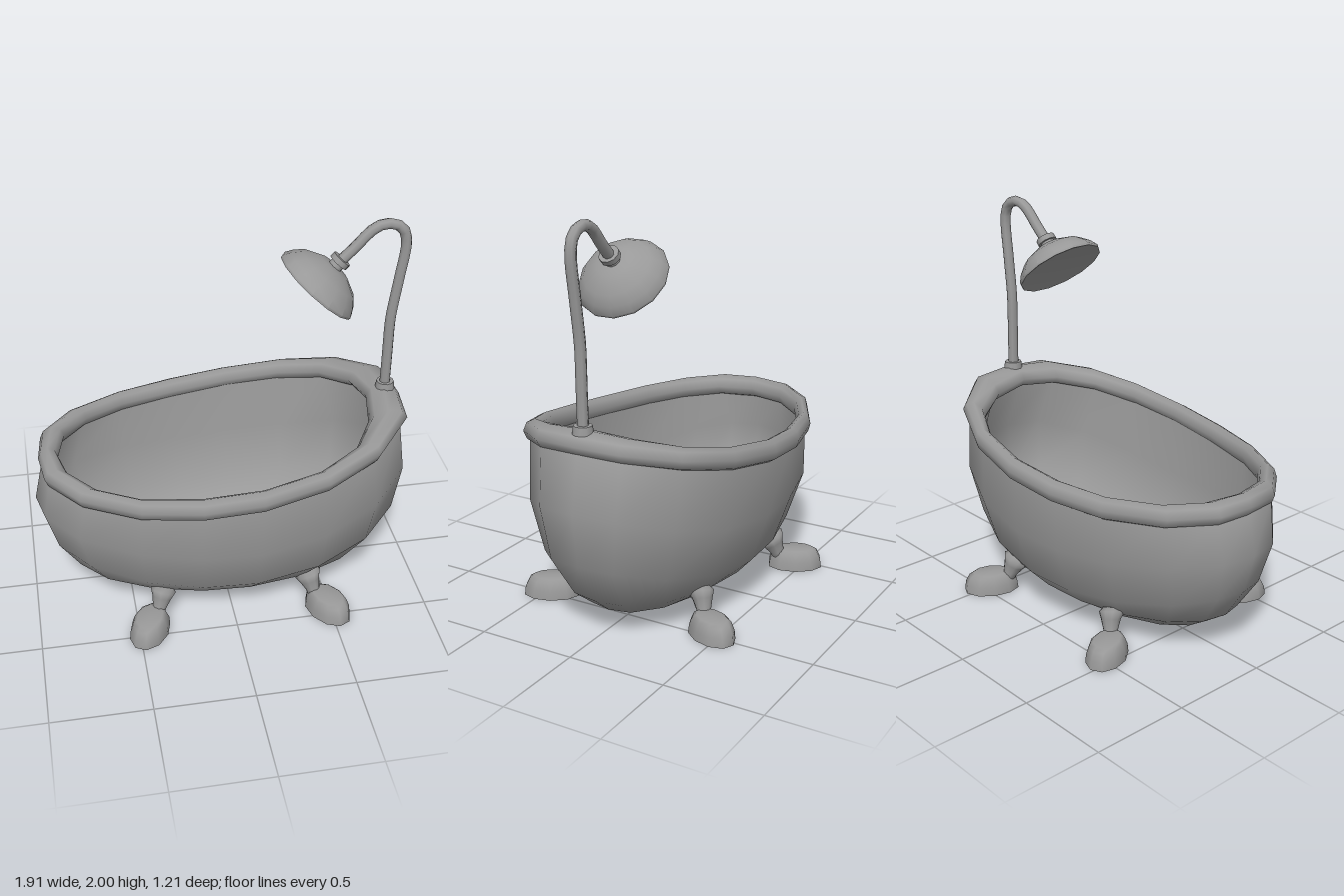
import * as THREE from 'three';
import { mergeVertices, toCreasedNormals } from 'three/addons/utils/BufferGeometryUtils.js';

const material = new THREE.MeshStandardMaterial({ color: 0x999999, side: THREE.DoubleSide });

function part(name, geometry) {
  const mesh = new THREE.Mesh(geometry, material);
  mesh.name = name;
  return mesh;
}

// Skin a stack of closed rings (each counter-clockwise from above, listed bottom to top)
function loft(rings) {
  const n = rings[0].length, index = [];
  for (let i = 0; i < rings.length - 1; i++) {
    for (let j = 0; j < n; j++) {
      const k = (j + 1) % n;
      const a = i * n + j, b = i * n + k, c = b + n, d = a + n;
      index.push(a, b, c, a, c, d);
    }
  }
  const g = new THREE.BufferGeometry();
  g.setAttribute('position', new THREE.Float32BufferAttribute(rings.flat(2), 3));
  g.setIndex(index);
  const welded = mergeVertices(g, 1e-4);
  welded.computeVertexNormals();
  return welded;
}

// Half of the rim: outer x, outer z, inner x, inner z
const half = [
  [-0.93, 0, -0.83, 0], [-0.91, 0.18, -0.785, 0.19], [-0.755, 0.37, -0.655, 0.34],
  [-0.47, 0.52, -0.46, 0.445], [-0.18, 0.59, -0.17, 0.505], [0.11, 0.607, 0.12, 0.525],
  [0.44, 0.56, 0.40, 0.485], [0.72, 0.435, 0.60, 0.38], [0.91, 0.22, 0.715, 0.2],
  [0.93, 0, 0.755, 0],
];
const mirrored = half.slice(1, -1).reverse().map(([a, b, c, d]) => [a, -b, c, -d]);
const outline = [...half, ...mirrored];

// The rim sweeps up towards the shower end
const rimHeight = (x) => 0.827 + 0.1 * x + 0.097 * x * x;

// Tub wall layers: x min, x max, half depth, y at left end, middle, right end
const layers = [
  [0, 0, 0, 0.03, 0.03, 0.03],
  [-0.40, 0.40, 0.17, 0.05, 0.042, 0.046],
  [-0.66, 0.67, 0.30, 0.11, 0.088, 0.10],
  [-0.79, 0.78, 0.39, 0.20, 0.15, 0.19],
  [-0.90, 0.92, 0.48, 0.37, 0.245, 0.42],
  [-0.96, 0.955, 0.567, 0.58, 0.50, 0.69],
];

// Same outline as the rim, with rounder ends
function wallRing([x0, x1, depth, yl, ym, yr], inset, lift) {
  const rx = Math.max((x1 - x0) / 2 - inset, 0), rz = Math.max(depth - inset, 0);
  return outline.map(([x, z]) => {
    const u = x / 0.93 * (z ? 0.982 : 1);
    const y = ym + ((u < 0 ? yl : yr) - ym) * u * u;
    return [(x0 + x1) / 2 + rx * u, y + lift, rz * z / 0.607];
  });
}

function createTub() {
  const outer = layers.map((l) => wallRing(l, 0, 0));
  // The wall runs up into the rim: f goes from its outer to its inner edge
  const lip = (f, endShift) => outline.map(([x, z, ix, iz]) => {
    const k = f - endShift * (x / 0.93) ** 2;
    return [x + (ix - x) * k, rimHeight(x) - 0.015, z + (iz - z) * k];
  });
  const lifts = [0.05, 0.042, 0.03, 0.025, 0.015, 0];
  const inner = layers.map((l, i) => wallRing(l, 0.037, lifts[i])).reverse();
  return part('tubShell', loft([...outer, lip(0.45, 0.28), lip(0.88, 0.1), ...inner]));
}

// Rolled rim swept around the outline, level across the ends and sloping along the sides
function createRim() {
  const rings = [...outline, outline[0]].map(([x, z, ix, iz]) => {
    const ring = [];
    for (let j = 0; j < 8; j++) {
      const t = j / 8 * Math.PI * 2, c = Math.cos(t);
      const px = (x + ix) / 2 + (x - ix) / 2 * c;
      const slope = (rimHeight(px) - rimHeight(x)) * Math.abs(z) / 0.607;
      ring.push([px, rimHeight(x) + slope - 0.058 * Math.sin(t), (z + iz) / 2 + (z - iz) / 2 * c]);
    }
    return ring;
  });
  return part('rolledRim', loft(rings));
}

// Horizontal oval ring turned outward by an angle; tilt raises its outward side
function oval([cx, y, cz], rx, rz, sx, sz, turn = 0, tilt = 0) {
  const ring = [];
  for (let j = 0; j < 10; j++) {
    const t = j / 10 * Math.PI * 2, ax = rx * Math.cos(t), az = -rz * Math.sin(t);
    const a = turn * sx * sz;
    const dx = ax * Math.cos(a) + az * Math.sin(a), dz = az * Math.cos(a) - ax * Math.sin(a);
    ring.push([cx + dx, y + tilt * (dx * sx + dz * sz), cz * sz + dz]);
  }
  return ring;
}

// Hollow foot pointing outward and the flared leg that meets the tub
function createLeg(sx, sz) {
  const leg = new THREE.Group();
  leg.name = 'leg';
  const shift = sx > 0 ? 0.037 : 0;
  const at = (x, y, z) => [x * sx + shift, y, z];
  const footRing = (y, k) => oval(at(0.448, y, 0.464), 0.097 * k, 0.146 * k, sx, sz, 0.47);
  leg.add(part('foot', loft([
    footRing(0, 1), footRing(0.045, 0.96), footRing(0.085, 0.82), footRing(0.1, 0.65), footRing(0.102, 0),
  ])));
  const stem = [
    [0.405, 0.03, 0.40, 0, 0], [0.405, 0.03, 0.40, 0.035, 0],
    [0.385, 0.09, 0.385, 0.036, 0.2], [0.37, 0.14, 0.37, 0.05, 0.35],
    [0.362, 0.17, 0.357, 0.064, 0.4], [0.355, 0.19, 0.345, 0.048, 0.35],
    [0.35, 0.19, 0.345, 0, 0],
  ];
  leg.add(part('legStem', loft(stem.map(([x, y, z, r, tilt]) =>
    oval(at(x, y, z), r, r, sx, sz, 0, tilt)))));
  return leg;
}

function createShower() {
  const shower = new THREE.Group();
  shower.name = 'shower';

  const flange = part('pipeFlange', new THREE.CylinderGeometry(0.044, 0.05, 0.04, 10));
  flange.position.set(0.852, 1.067, 0);
  shower.add(flange);

  // Riser bent over at the top
  const path = new THREE.CatmullRomCurve3([
    [0.85, 1.06, 0], [0.85, 1.25, 0.003], [0.85, 1.43, 0.005], [0.854, 1.49, 0.006],
    [0.876, 1.67, 0.009], [0.897, 1.86, 0.012], [0.884, 1.925, 0.013], [0.85, 1.96, 0.014],
    [0.785, 1.974, 0.016], [0.725, 1.95, 0.018], [0.64, 1.865, 0.022], [0.555, 1.785, 0.025],
  ].map((p) => new THREE.Vector3(...p)));
  shower.add(part('pipe', new THREE.TubeGeometry(path, 28, 0.027, 8)));

  // Tilted head with its collar
  const head = new THREE.Group();
  head.name = 'showerHead';
  head.position.set(0.457, 1.675, 0.026);
  head.rotation.z = -0.727;
  const profile = [[0, 0.004], [0.21, 0.004], [0.224, 0], [0.226, 0.012], [0.203, 0.05],
    [0.165, 0.09], [0.085, 0.13], [0, 0.14]].map((p) => new THREE.Vector2(...p));
  head.add(part('showerDome', toCreasedNormals(new THREE.LatheGeometry(profile, 14), 0.8)));
  const neck = part('headNeck', new THREE.CylinderGeometry(0.034, 0.038, 0.05, 10));
  neck.position.y = 0.145;
  const collar = part('headCollar', new THREE.CylinderGeometry(0.05, 0.05, 0.028, 10));
  collar.position.y = 0.172;
  head.add(neck, collar);
  shower.add(head);
  return shower;
}

export function createModel() {
  const model = new THREE.Group();
  model.name = 'clawFootBathtub';
  model.add(createTub(), createRim(), createShower());
  for (const sx of [-1, 1]) for (const sz of [-1, 1]) model.add(createLeg(sx, sz));
  return model;
}
